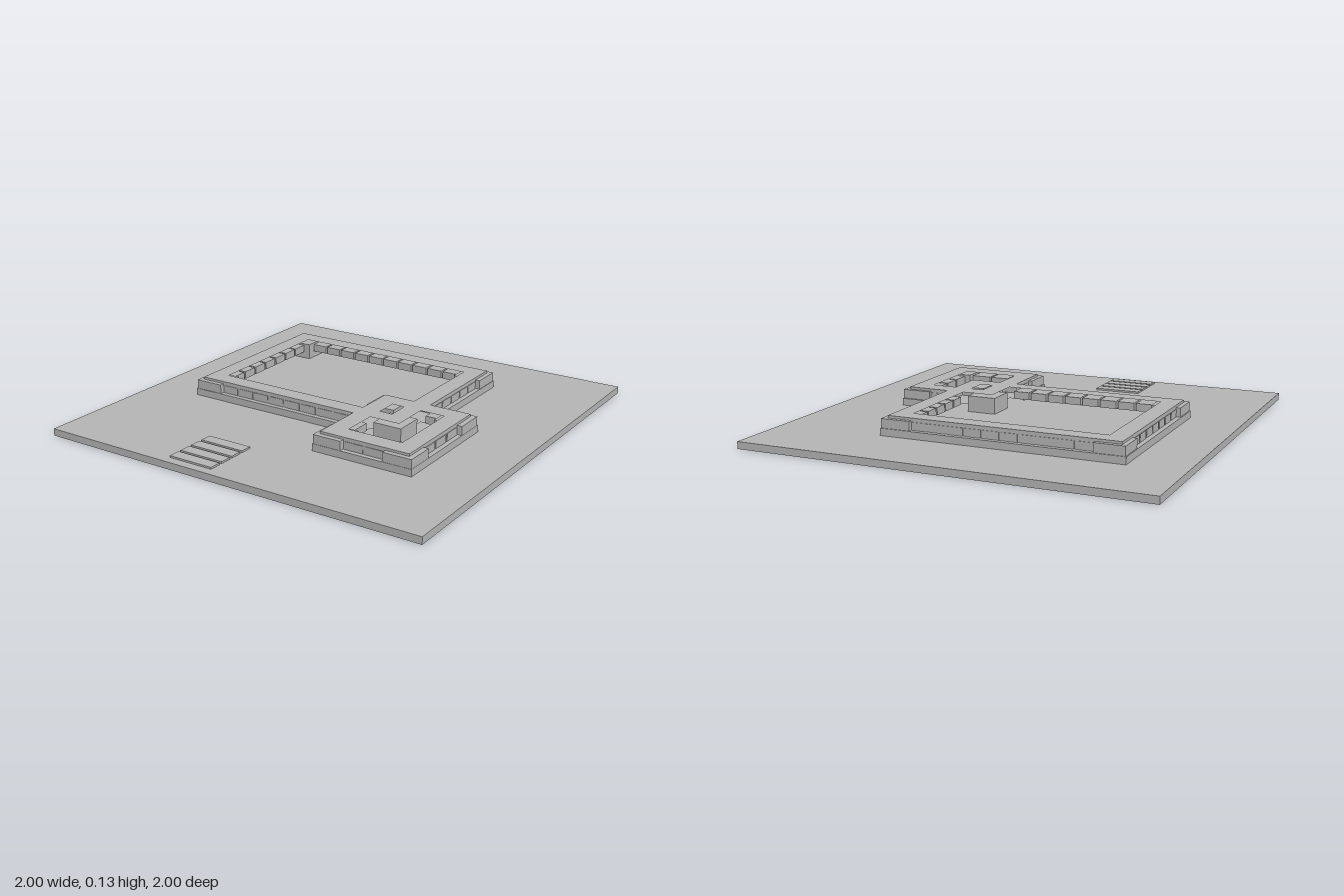
import * as THREE from 'three';

const stone = new THREE.MeshStandardMaterial({ color: 0xb4b4b4 });
stone.name = 'grey stone';

const GROUND = 0.035, LEDGE = 0.07, BLOCK_TOP = 0.115, TOP = 0.127;

// Box given by its minimum and maximum corners
function box(name, x0, x1, y0, y1, z0, z1) {
  const g = new THREE.BoxGeometry(x1 - x0, y1 - y0, z1 - z0);
  const m = new THREE.Mesh(g, stone);
  m.position.set((x0 + x1) / 2, (y0 + y1) / 2, (z0 + z1) / 2);
  m.name = name;
  return m;
}

const toPoints = (list) => list.map(([x, z]) => new THREE.Vector2(x, -z));

// Outline of the two overlapping rectangles, grown by d
const outline = (d) => [
  [-0.705 - d, -0.615 - d], [0.44 + d, -0.615 - d], [0.44 + d, -0.035 - d], [0.655 + d, -0.035 - d],
  [0.655 + d, 0.52 + d], [0.19 - d, 0.52 + d], [0.19 - d, 0.25 + d], [-0.705 - d, 0.25 + d],
];

// Large courtyard, small courtyard and the pit where the rings cross
const openings = [
  [[-0.615, -0.53], [0.35, -0.53], [0.35, -0.035], [0.19, -0.035], [0.19, 0.165], [-0.615, 0.165]],
  [[0.44, 0.055], [0.565, 0.055], [0.565, 0.43], [0.285, 0.43], [0.285, 0.25], [0.44, 0.25]],
  [[0.285, 0.055], [0.35, 0.055], [0.35, 0.165], [0.285, 0.165]],
];

function ringLayer(name, grow, y0, y1) {
  const shape = new THREE.Shape(toPoints(outline(grow)));
  for (const o of openings) shape.holes.push(new THREE.Path(toPoints(o)));
  const g = new THREE.ExtrudeGeometry(shape, { depth: y1 - y0, bevelEnabled: false });
  g.rotateX(-Math.PI / 2);
  const m = new THREE.Mesh(g, stone);
  m.position.y = y0;
  m.name = name;
  return m;
}

// Row of slightly proud panels passing through a wall
function panelRow(alongX, from, to, a, b) {
  const row = new THREE.Group();
  row.name = 'wallPanels';
  const n = Math.max(1, Math.round((to - from) / 0.092));
  const step = (to - from) / n, p = 0.003;
  for (let i = 0; i < n; i++) {
    const s = from + i * step + 0.005, e = from + (i + 1) * step - 0.005;
    row.add(alongX
      ? box('panel', s, e, LEDGE, 0.108, a - p, b + p)
      : box('panel', a - p, b + p, LEDGE, 0.108, s, e));
  }
  return row;
}

export function createModel() {
  const model = new THREE.Group();
  model.name = 'walledCompound';

  model.add(box('groundSlab', -1, 1, 0, GROUND, -1, 1));
  model.add(ringLayer('plinth', 0.027, GROUND, LEDGE));
  model.add(ringLayer('walls', 0, LEDGE, TOP));

  // Square corner blocks of both rings
  const corners = [
    [-0.727, -0.637], [0.317, -0.637], [-0.727, 0.127], [0.317, 0.127],
    [0.168, -0.052], [0.534, -0.052], [0.168, 0.398], [0.534, 0.398],
  ];
  for (const [x, z] of corners) {
    model.add(box('cornerBlock', x, x + 0.147, GROUND, BLOCK_TOP, z, z + 0.147));
  }

  // Panels: along x or z, start, end, wall faces
  const rows = [
    [true, -0.58, 0.317, -0.615, -0.53], [true, -0.58, 0.168, 0.165, 0.25],
    [false, -0.49, 0.127, -0.705, -0.615], [false, -0.49, -0.06, 0.35, 0.44],
    [true, 0.464, 0.534, -0.035, 0.055], [true, 0.315, 0.534, 0.43, 0.52],
    [false, 0.28, 0.398, 0.19, 0.285], [false, 0.095, 0.398, 0.565, 0.655],
  ];
  for (const r of rows) model.add(panelRow(...r));

  // Four flat paving slabs in front
  for (let i = 0; i < 4; i++) {
    const z = 0.68 + i * 0.0725;
    model.add(box('pavingSlab', -0.32, -0.085, GROUND, 0.044, z, z + 0.058));
  }
  return model;
}
